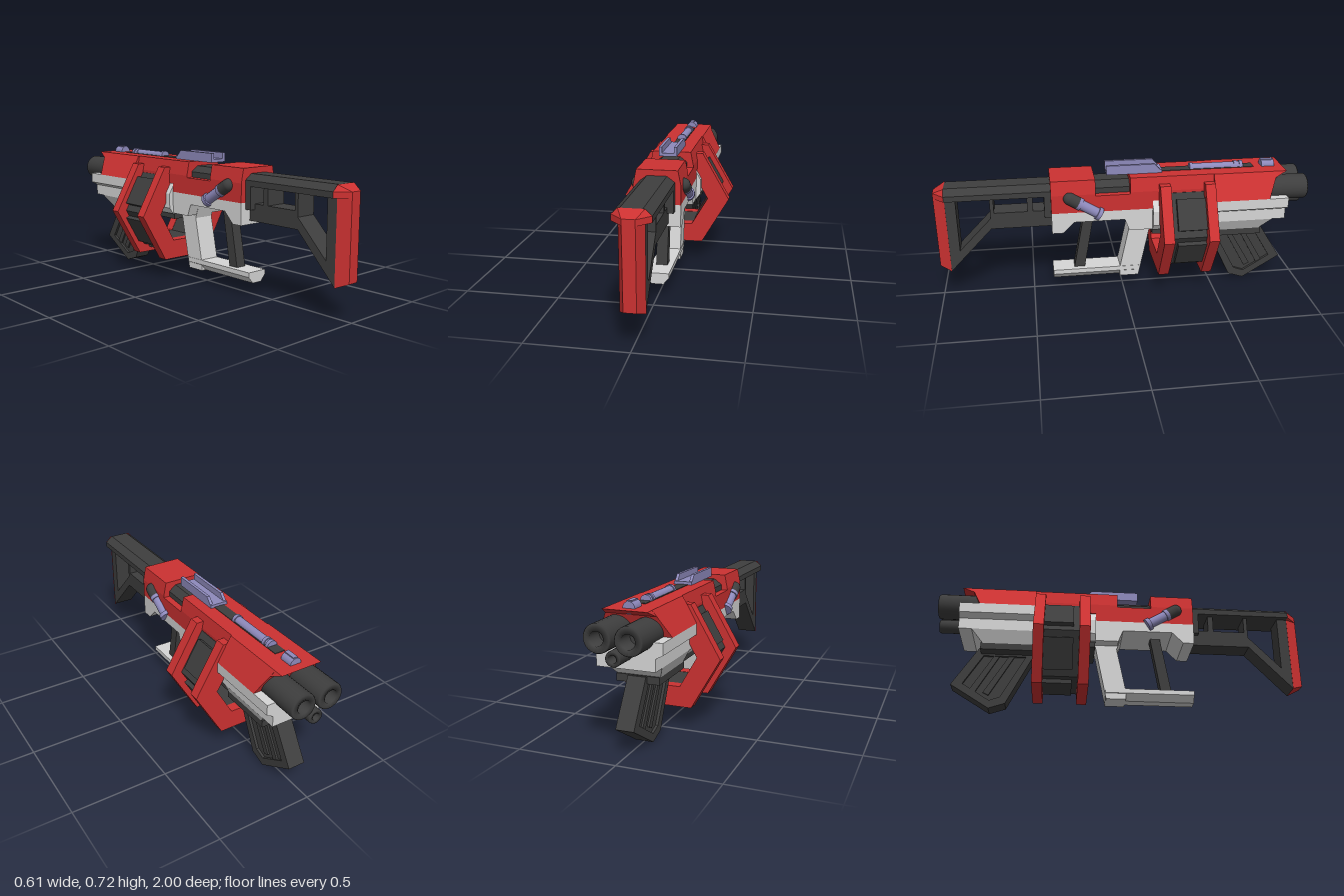
import * as THREE from 'three';

const paint = (name, color) => {
  const m = new THREE.MeshStandardMaterial({ color });
  m.name = name;
  return m;
};

export function createModel() {
  const root = new THREE.Group();
  const red = paint('red', 0xcc3131), dark = paint('charcoal', 0x3e3e3e);
  const pale = paint('pale grey', 0xd6d6d6), lilac = paint('lilac', 0x8e8abc);

  const add = (name, geo, mat, parent = root) => {
    const mesh = new THREE.Mesh(geo, mat);
    mesh.name = name;
    parent.add(mesh);
    return mesh;
  };
  const poly = (pts) => pts.map(([a, b]) => new THREE.Vector2(a, b));
  const extrude = (pts, holes, depth) => {
    const s = new THREE.Shape(poly(pts));
    s.holes = holes.map((h) => new THREE.Path(poly(h)));
    return new THREE.ExtrudeGeometry(s, { depth, bevelEnabled: false });
  };
  // Side profile in [z, y], extruded across x from x0 to x1
  const side = (pts, x0, x1, holes = []) => {
    const flip = (list) => list.map(([z, y]) => [-z, y]);
    return extrude(flip(pts), holes.map(flip), x1 - x0).rotateY(Math.PI / 2).translate(x0, 0, 0);
  };
  // Cross-section in [x, y], extruded along z
  const cross = (pts, z0, z1, holes = []) => extrude(pts, holes, z1 - z0).translate(0, 0, z0);
  // Mirrored cross-section from its right half, listed top to bottom
  const sym = (half, z0, z1) => cross([...half, ...half.map(([x, y]) => [-x, y]).reverse()], z0, z1);
  const box = (x0, x1, y0, y1, z0, z1) =>
    new THREE.BoxGeometry(x1 - x0, y1 - y0, z1 - z0).translate((x0 + x1) / 2, (y0 + y1) / 2, (z0 + z1) / 2);
  const warp = (geo, rule) => {
    const p = geo.attributes.position, v = new THREE.Vector3();
    for (let i = 0; i < p.count; i++) {
      rule(v.fromBufferAttribute(p, i));
      p.setXYZ(i, v.x, v.y, v.z);
    }
    geo.computeVertexNormals();
    return geo;
  };
  // Lathe along z: profile of [radius, z], running towards +z
  const turned = (pts, segs = 24) => new THREE.LatheGeometry(poly(pts), segs).rotateX(Math.PI / 2);

  // Stock: chamfered top beam, open frame and tapered butt pad
  add('stockBeam', sym([[0.05, 0.645], [0.09, 0.615], [0.09, 0.585]], 0.38, 0.94), dark);
  add('stockFrame', side(
    [[0.94, 0.6], [0.94, 0.165], [0.71, 0.405], [0.38, 0.405], [0.38, 0.6]], -0.058, 0.058,
    [
      [[0.885, 0.588], [0.885, 0.285], [0.71, 0.465], [0.71, 0.588]],
      [[0.69, 0.588], [0.69, 0.495], [0.515, 0.495], [0.515, 0.588]],
      [[0.485, 0.588], [0.485, 0.495], [0.425, 0.495], [0.425, 0.588]],
    ]), dark);
  add('stockCollar', box(-0.09, 0.09, 0.465, 0.6, 0.38, 0.425), dark);
  const padRule = (v) => {
    if (v.z < 0.97) return;
    v.x = THREE.MathUtils.clamp(v.x, -0.03, 0.03);
    v.y = THREE.MathUtils.clamp(v.y, 0.19, 0.615);
  };
  add('buttPad', warp(sym([[0.06, 0.6], [0.06, 0.165]], 0.94, 1), padRule), red);
  add('buttPadTop', warp(sym([[0.06, 0.645], [0.09, 0.615], [0.09, 0.585]], 0.94, 1), padRule), red);

  // Receiver
  const shell = (low) => [[0.105, 0.675], [0.12, 0.6], [0.12, low]];
  add('rearReceiver', sym(shell(0.5), 0.155, 0.39), red);
  add('slotWall', box(-0.12, 0.12, 0.5, 0.59, -0.03, 0.155), red);
  add('bolt', sym([[0.045, 0.65], [0.085, 0.62], [0.085, 0.58]], -0.03, 0.155), dark);
  add('midReceiver', sym(shell(0.5), -0.15, -0.03), red);
  add('upperReceiver', sym(shell(0.545), -0.48, -0.15), red);
  add('lowerReceiver', side(
    [[0.39, 0.5], [0.39, 0.385], [0.33, 0.385], [0.27, 0.445], [0, 0.445], [-0.025, 0.38], [-0.15, 0.38], [-0.15, 0.5]],
    -0.12, 0.12), pale);
  add('receiverCore', sym([[0.11, 0.55], [0.145, 0.49], [0.145, 0.41], [0.12, 0.375]], -0.48, -0.15), pale);
  add('receiverKeel', box(-0.11, 0.11, 0.345, 0.376, -0.48, -0.15), dark);

  // Grip, lower guard and rear strut
  add('grip', side([[0, 0.445], [-0.03, 0.36], [0.02, 0.12], [0.02, 0.07], [-0.085, 0.07], [-0.15, 0.385], [-0.15, 0.445]],
    -0.058, 0.058), pale);
  add('lowerGuard', sym([[0.06, 0.13], [0.06, 0.105], [0.03, 0.07]], -0.09, 0.39), pale);
  add('rearStrut', side([[0.213, 0.45], [0.158, 0.45], [0.215, 0.12], [0.273, 0.12]], -0.03, 0.03), dark);

  // Hexagonal drum between two frames
  const cy = 0.373;
  const hex = (r) => Array.from({ length: 6 }, (_, i) => {
    const a = (i * Math.PI) / 3;
    return [r * Math.cos(a), cy + r * Math.sin(a)];
  });
  for (const [name, z0, z1] of [['frontDrumFrame', -0.48, -0.425], ['rearDrumFrame', -0.24, -0.183]])
    add(name, cross(hex(0.303), z0, z1, [hex(0.182)]), red);
  add('drum', cross(hex(0.245), -0.43, -0.235, [hex(0.184)]), dark);
  for (let i = 0; i < 6; i++) {
    const a = Math.PI / 6 + (i * Math.PI) / 3;
    const g = box(0.19, 0.235, -0.085, 0.085, -0.43, -0.27).rotateZ(a).translate(0, cy, 0);
    add('drumPanel', g, dark);
  }

  // Fore-end: sloped red cowl, pale handguard
  add('cowl', warp(sym([[0.11, 0.675], [0.182, 0.545]], -0.8, -0.48), (v) => {
    if (v.z < -0.7) v.z = v.y > 0.6 ? -0.83 : -0.775;
  }), red);
  add('cowlLip', warp(sym([[0.11, 0.675], [0.125, 0.645]], -0.88, -0.7), (v) => {
    if (v.z < -0.8 && v.y < 0.66) v.z = -0.82;
  }), red);
  add('handguard', sym([[0.182, 0.545], [0.182, 0.49], [0.145, 0.47], [0.145, 0.41]], -0.88, -0.48), pale);
  add('handguardBase', warp(sym([[0.145, 0.41], [0.11, 0.345]], -0.81, -0.48), (v) => {
    if (v.z < -0.7 && v.y < 0.38) v.z = -0.75;
  }), pale);

  // Bored barrels
  const barrel = (name, x, y, r) => {
    const b = r * 0.5;
    add(name, turned([[b, -0.9], [b, -1], [r * 0.93, -1], [r, -0.992], [r, -0.7]].reverse()), dark).position.set(x, y, 0);
    add(name + 'Bore', new THREE.CircleGeometry(b, 24).rotateY(Math.PI), dark).position.set(x, y, -0.91);
  };
  barrel('leftBarrel', 0.075, 0.57, 0.068);
  barrel('rightBarrel', -0.075, 0.57, 0.068);
  barrel('lowerBarrel', 0, 0.487, 0.037);
  root.children.filter((m) => /Barrel$/.test(m.name)).forEach((m) => {
    // Turn surfaces outward whichever way the profile runs
    const p = m.geometry.attributes.position, n = m.geometry.attributes.normal;
    const last = p.count - 1;
    const k = [0, last].find((i) => Math.hypot(p.getX(i), p.getY(i)) > 0.036) ?? 0;
    if (p.getX(k) * n.getX(k) + p.getY(k) * n.getY(k) < 0) {
      m.geometry.index.array.reverse();
      m.geometry.computeVertexNormals();
    }
  });

  // Magazine with raised borders and ribs on both sides
  add('magazineWell', box(-0.11, 0.11, 0.31, 0.347, -0.76, -0.47), dark);
  const mag = [[-0.46, 0.345], [-0.615, 0.03], [-0.7, 0.001], [-0.906, 0.128], [-0.77, 0.345]];
  add('magazine', side(mag, -0.032, 0.032), dark);
  add('magazineRim', side(mag, -0.046, 0.046,
    [[[-0.52, 0.3], [-0.645, 0.065], [-0.7, 0.045], [-0.845, 0.135], [-0.745, 0.3]]]), dark);
  for (const z of [-0.575, -0.655])
    add('magazineRib', side([[z, 0.31], [z - 0.13, 0.075], [z - 0.16, 0.09], [z - 0.03, 0.31]], -0.042, 0.042), dark);

  // Top channel and sights
  add('topChannel', box(-0.028, 0.028, 0.67, 0.678, -0.72, -0.03), dark);
  const sightEnd = (v) => { if (v.z < -0.2 && v.y > 0.7) v.z = -0.17; };
  add('rearSightFloor', box(-0.048, 0.048, 0.675, 0.692, -0.21, 0.09), lilac);
  for (const s of [-1, 1]) {
    const wall = box(s * 0.04 - 0.008, s * 0.04 + 0.008, 0.68, 0.725, -0.21, 0.09).toNonIndexed();
    add('rearSightWall', warp(wall, sightEnd), lilac);
  }
  const rod = (name, r, z0, z1) => add(name,
    new THREE.CylinderGeometry(r, r, z1 - z0, 20).rotateX(Math.PI / 2).translate(0, 0.677, (z0 + z1) / 2), lilac);
  rod('topRod', 0.023, -0.65, -0.37);
  for (const z of [-0.66, -0.63, -0.385]) rod('topRodCollar', 0.028, z, z + 0.018);
  rod('frontSight', 0.03, -0.835, -0.765);
  add('frontSightFin', box(-0.012, 0.012, 0.68, 0.71, -0.83, -0.765), lilac);

  // Side levers: lilac rod with collars and a dark domed knob
  for (const s of [-1, 1]) {
    const lever = new THREE.Group();
    lever.name = s > 0 ? 'leftLever' : 'rightLever';
    const cyl = (name, r, y0, y1, mat) =>
      add(name, new THREE.CylinderGeometry(r, r, y1 - y0, 20).translate(0, (y0 + y1) / 2, 0), mat, lever);
    cyl('leverRod', 0.028, 0, 0.14, lilac);
    cyl('leverCollar', 0.036, 0, 0.022, lilac);
    cyl('leverCollar', 0.034, 0.12, 0.14, lilac);
    cyl('leverKnob', 0.034, 0.14, 0.19, dark);
    add('leverDome', new THREE.SphereGeometry(0.034, 20, 10).translate(0, 0.19, 0), dark, lever);
    lever.position.set(s * 0.118, 0.483, 0.13);
    lever.rotation.x = Math.atan2(0.165, 0.1);
    root.add(lever);
  }
  return root;
}
